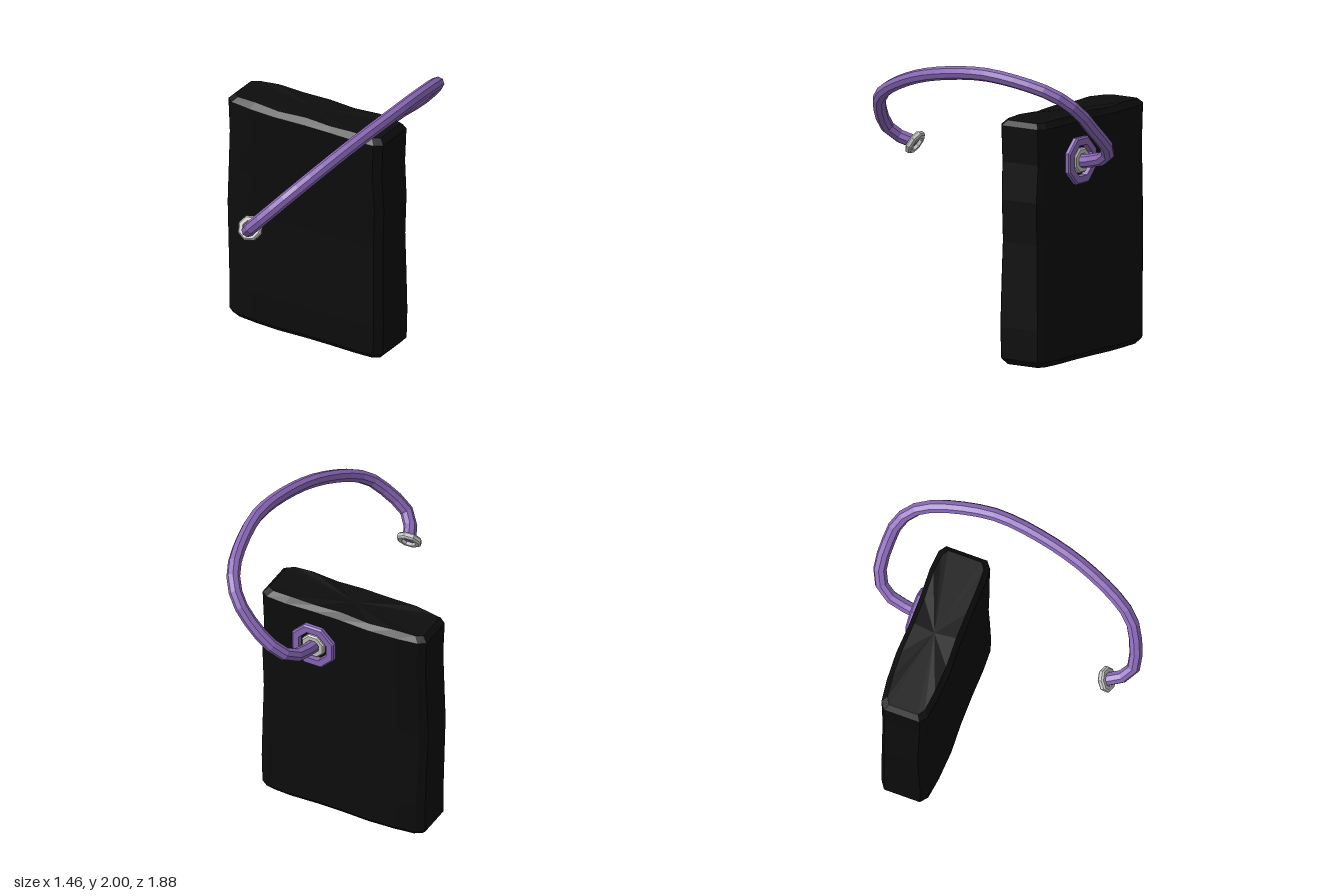
import * as THREE from 'three';

const black = new THREE.MeshStandardMaterial({ color: 0x0d0d0d });
black.name = 'black';
const purple = new THREE.MeshStandardMaterial({ color: 0x8a68b8 });
purple.name = 'purple';
const grey = new THREE.MeshStandardMaterial({ color: 0xc4c4c2 });
grey.name = 'light grey';

// Faceted mesh: every triangle gets its own normal
function facetedMesh(name, geometry, material) {
  const geo = geometry.index ? geometry.toNonIndexed() : geometry;
  geo.computeVertexNormals();
  const mesh = new THREE.Mesh(geo, material);
  mesh.name = name;
  return mesh;
}

// Chamfered, slightly uneven slab, lofted from horizontal sections
function slabGeometry() {
  // outline as [x, z]
  const outline = [
    [-0.72, -0.26], [-0.67, -0.22], [-0.52, -0.2], [-0.32, -0.19], [-0.1, -0.2], [0.1, -0.2],
    [0.3, -0.195], [0.44, -0.2], [0.49, -0.24], [0.49, -0.53], [0.44, -0.565], [0.3, -0.575],
    [0.1, -0.565], [-0.1, -0.565], [-0.32, -0.575], [-0.52, -0.565], [-0.67, -0.545], [-0.72, -0.51],
  ];
  // height, shift of left side, shift of right side, depth scale, inset
  const sections = [
    [0, 0.01, 0, 1, 0.035], [0.04, 0.01, 0, 1, 0], [0.25, 0.01, 0.005, 1.01, 0],
    [0.55, 0, 0, 0.98, 0], [0.82, -0.01, -0.005, 0.94, 0], [1.1, 0, 0.004, 0.95, 0],
    [1.35, 0.01, -0.01, 0.98, 0], [1.59, 0, 0, 0.99, 0], [1.628, 0, 0, 0.99, 0.035],
  ];
  const cx = -0.115, cz = -0.383, n = outline.length, pos = [], index = [];
  sections.forEach(([y, left, right, depth, inset], s) => {
    for (const [x, z] of outline) {
      const sx = 1 - inset / 0.6, sz = depth - inset / 0.19;
      const wave = s === sections.length - 1 ? 0.005 * Math.cos((x + 0.1) * 15) : 0;
      pos.push(cx + (x - cx) * sx + (x < cx ? left : right), y + wave, cz + (z - cz) * sz);
    }
  });
  for (let s = 0; s < sections.length - 1; s++) {
    for (let i = 0; i < n; i++) {
      const a = s * n + i, b = s * n + (i + 1) % n;
      index.push(a, b, b + n, a, b + n, a + n);
    }
  }
  // end caps
  const bottom = pos.length / 3, top = bottom + 1, last = (sections.length - 1) * n;
  pos.push(cx, 0, cz, cx, 1.625, cz);
  for (let i = 0; i < n; i++) {
    const j = (i + 1) % n;
    index.push(bottom, j, i, top, last + i, last + j);
  }
  const geo = new THREE.BufferGeometry();
  geo.setAttribute('position', new THREE.Float32BufferAttribute(pos, 3));
  geo.setIndex(index);
  return geo;
}

// Eight-sided ring with softened edges, its axis along +y
function ringGeometry(inner, outer, height) {
  const h = height / 2, c = height * 0.25;
  const profile = [
    [inner, -h], [outer - c, -h], [outer, -h + c], [outer, h - c],
    [outer - c, h], [inner, h], [inner, -h],
  ].map(([r, y]) => new THREE.Vector2(r, y));
  return new THREE.LatheGeometry(profile, 8, Math.PI / 8);
}

function place(mesh, position, axis) {
  mesh.position.copy(position);
  mesh.quaternion.setFromUnitVectors(new THREE.Vector3(0, 1, 0), axis);
  return mesh;
}

export function createModel() {
  const group = new THREE.Group();
  group.name = 'slabWithHose';

  group.add(facetedMesh('slab', slabGeometry(), black));

  // Hose arching from the back of the slab to the front
  const path = new THREE.CatmullRomCurve3([
    [0.08, 1.325, -0.56], [0.09, 1.34, -0.66], [0.125, 1.39, -0.82], [0.22, 1.48, -0.89],
    [0.36, 1.6, -0.893], [0.495, 1.745, -0.86], [0.595, 1.86, -0.735], [0.675, 1.95, -0.37],
    [0.68, 1.955, -0.13], [0.595, 1.865, 0.37], [0.435, 1.68, 0.77], [0.31, 1.54, 0.865],
    [0.19, 1.41, 0.893], [0.14, 1.355, 0.85], [0.09, 1.31, 0.745],
  ].map((p) => new THREE.Vector3(...p)), false, 'centripetal');
  const radius = 0.045;
  group.add(facetedMesh('hose', new THREE.TubeGeometry(path, 30, radius, 8), purple));

  // Free end: collar and closing disc
  const end = path.getPoint(1);
  const endAxis = new THREE.Vector3(-0.12, -0.5, -0.82).normalize();
  group.add(place(facetedMesh('endCollar', ringGeometry(0.05, 0.086, 0.045), grey), end, endAxis));
  const disc = new THREE.CircleGeometry(0.056, 8).rotateX(-Math.PI / 2);
  group.add(place(facetedMesh('endDisc', disc, purple), end, endAxis));

  // Mount on the back of the slab
  const back = new THREE.Vector3(0, 0, -1);
  const mount = new THREE.Vector3(0.08, 1.335, -0.582);
  group.add(place(facetedMesh('mountRing', ringGeometry(0.11, 0.167, 0.045), purple), mount, back));
  group.add(place(facetedMesh('mountCollar', ringGeometry(0.05, 0.088, 0.04), grey), mount, back));

  return group;
}
